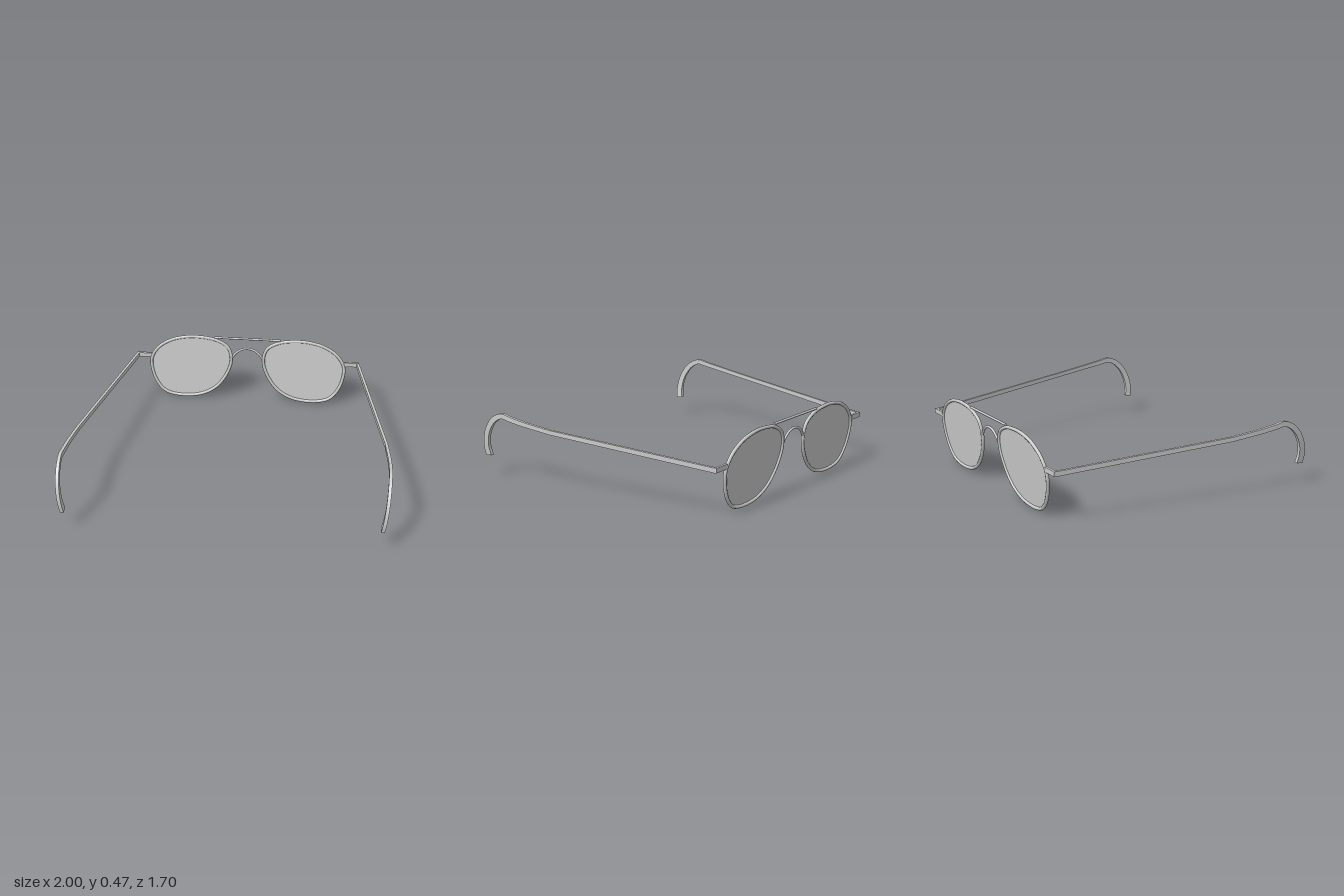
import * as THREE from 'three';
import { toCreasedNormals } from 'three/addons/utils/BufferGeometryUtils.js';

const metal = new THREE.MeshStandardMaterial({ color: 0xcccccc });
const glass = new THREE.MeshStandardMaterial({ color: 0xcccccc, side: THREE.DoubleSide });

// Outer edge of one eye, clockwise from the top
const EYE = [
  [0.36, 0.476], [0.46, 0.466], [0.55, 0.438], [0.64, 0.375], [0.688, 0.29], [0.685, 0.2],
  [0.65, 0.1], [0.59, 0.03], [0.49, 0.002], [0.33, 0.016], [0.22, 0.075],
  [0.14, 0.18], [0.102, 0.3], [0.125, 0.4], [0.21, 0.455],
];
const RIM = 0.011;

function mesh(name, geometry, material = metal) {
  const m = new THREE.Mesh(geometry, material);
  m.name = name;
  return m;
}

// Closed centre line of the rim, inset by the wire radius
function eyeCurve(side) {
  const cx = 0.395, cy = 0.239;
  const pts = EYE.map(([x, y]) => new THREE.Vector3(
    side * (cx + (x - cx) * (1 - RIM / 0.294)), cy + (y - cy) * (1 - RIM / 0.237), 0));
  return new THREE.CatmullRomCurve3(pts, true);
}

// Flat bar swept along a path in the side plane: stations are {p, w, h} with half sizes
function sweepBar(stations, side) {
  const pos = [], index = [];
  const corners = [[1, -1], [1, 1], [-1, 1], [-1, -1]];
  const tri = (a, b, c) => (side > 0 ? index.push(a, b, c) : index.push(a, c, b));
  const last = stations.length - 1;
  stations.forEach(({ p, w, h }, i) => {
    const a = stations[Math.max(i - 1, 0)].p, b = stations[Math.min(i + 1, last)].p;
    const len = Math.hypot(b.y - a.y, b.z - a.z);
    const ny = (b.z - a.z) / len, nz = -(b.y - a.y) / len;
    for (const [u, v] of corners) pos.push(side * (p.x + u * w), p.y + v * h * ny, p.z + v * h * nz);
    if (i === last) return;
    for (let k = 0; k < 4; k++) {
      const q = i * 4 + k, r = i * 4 + (k + 1) % 4;
      tri(q, r, r + 4);
      tri(q, r + 4, q + 4);
    }
  });
  const e = last * 4;
  tri(0, 2, 1); tri(0, 3, 2);
  tri(e, e + 1, e + 2); tri(e, e + 2, e + 3);
  const g = new THREE.BufferGeometry();
  g.setAttribute('position', new THREE.Float32BufferAttribute(pos, 3));
  g.setIndex(index);
  return toCreasedNormals(g, 0.6);
}

// Temple arm: straight bar, then a curved ear hook that widens to the tip
function templeArm(side) {
  const hook = new THREE.CatmullRomCurve3([
    [0.966, 0.378, 0.28], [0.985, 0.398, 0.48], [0.99, 0.412, 0.6], [0.99, 0.42, 0.665],
    [0.988, 0.378, 0.745], [0.982, 0.29, 0.806], [0.972, 0.2, 0.826], [0.962, 0.135, 0.818],
  ].map((p) => new THREE.Vector3(...p)));
  const stations = [{ p: new THREE.Vector3(0.772, 0.307, -0.828), w: 0.009, h: 0.015 }];
  const n = 36;
  for (let i = 0; i <= n; i++) {
    const t = i / n;
    stations.push({ p: hook.getPointAt(t), w: 0.009 + 0.002 * t, h: 0.014 + 0.009 * t * t });
  }
  return sweepBar(stations, side);
}

export function createModel() {
  const model = new THREE.Group();
  model.name = 'glasses';

  // Front frame leans back slightly from bottom to top
  const front = new THREE.Group();
  front.name = 'frontFrame';
  front.position.z = -0.793;
  front.rotation.x = -0.1;
  model.add(front);

  for (const side of [1, -1]) {
    const label = side > 0 ? 'left' : 'right';
    const curve = eyeCurve(side);
    front.add(mesh(label + 'Rim', new THREE.TubeGeometry(curve, 96, RIM, 8, true)));
    const outline = new THREE.Shape(curve.getPoints(80).map((p) => new THREE.Vector2(p.x, p.y)));
    front.add(mesh(label + 'Lens', new THREE.ShapeGeometry(outline), glass));

    // Hinge piece between rim and temple arm
    const hinge = mesh(label + 'Hinge', new THREE.BoxGeometry(0.105, 0.03, 0.016));
    hinge.position.set(side * 0.73, 0.309, -0.825);
    model.add(hinge);
    model.add(mesh(label + 'Temple', templeArm(side)));
  }

  // Straight brow bar across the top
  const bar = mesh('browBar', new THREE.CylinderGeometry(0.008, 0.008, 0.46, 8));
  bar.rotation.z = Math.PI / 2;
  bar.position.y = 0.465;
  front.add(bar);

  // Arched nose bridge
  const arch = new THREE.CatmullRomCurve3([
    [-0.11, 0.315], [-0.085, 0.35], [-0.048, 0.38], [0, 0.391],
    [0.048, 0.38], [0.085, 0.35], [0.11, 0.315],
  ].map(([x, y]) => new THREE.Vector3(x, y, 0)));
  front.add(mesh('noseBridge', new THREE.TubeGeometry(arch, 32, 0.008, 8)));

  return model;
}
